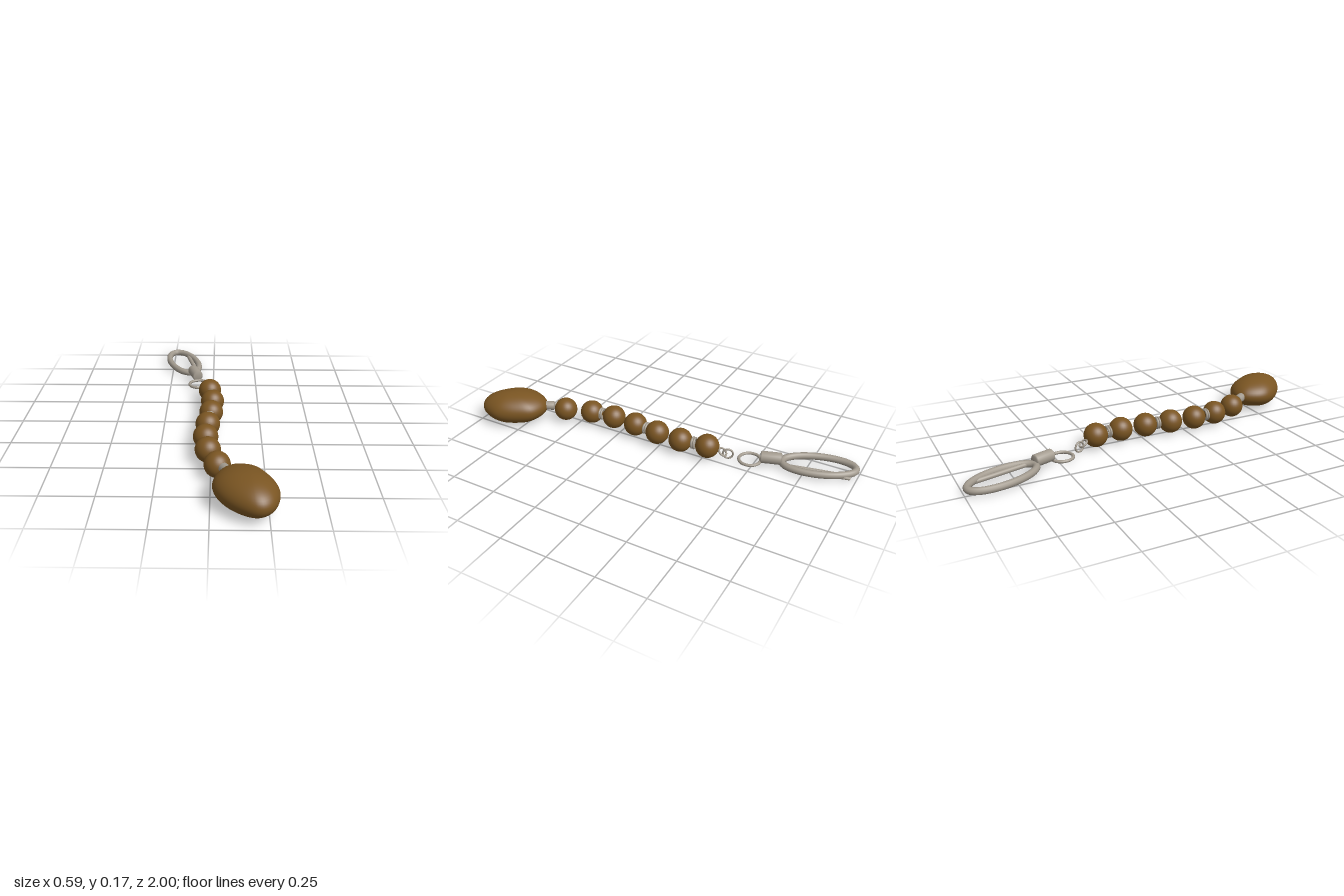
import * as THREE from 'three';
import { mergeVertices } from 'three/addons/utils/BufferGeometryUtils.js';

const V = (x, y, z) => new THREE.Vector3(x, y, z);

export function createModel() {
  const group = new THREE.Group();
  const brown = new THREE.MeshStandardMaterial({ name: 'brown stone', color: 0x7a5522 });
  const silver = new THREE.MeshStandardMaterial({ name: 'silver metal', color: 0xa39b8f });

  function add(name, geometry, material, position = V(0, 0, 0)) {
    const mesh = new THREE.Mesh(geometry, material);
    mesh.name = name;
    mesh.position.copy(position);
    group.add(mesh);
    return mesh;
  }

  // ring whose hole points along the given axis
  function ring(name, centre, axis, radius, tube) {
    const mesh = add(name, new THREE.TorusGeometry(radius, tube, 10, 36), silver, centre);
    mesh.quaternion.setFromUnitVectors(V(0, 0, 1), axis.clone().normalize());
    return mesh;
  }

  // solid turned about the line from a to b; profile is [radius, fraction of length]
  function turned(name, a, b, profile) {
    const length = a.distanceTo(b);
    const points = profile.map(([r, t]) => new THREE.Vector2(r, t * length));
    const mesh = add(name, new THREE.LatheGeometry(points, 24), silver, a);
    mesh.quaternion.setFromUnitVectors(V(0, 1, 0), b.clone().sub(a).normalize());
    return mesh;
  }

  // row of beads
  const beads = [[-0.016, -0.267], [0, -0.12], [-0.005, 0.02], [-0.02, 0.162],
    [-0.028, 0.302], [-0.015, 0.437], [0.03, 0.58]];
  beads.forEach(([x, z]) => {
    add('bead', new THREE.SphereGeometry(0.062, 32, 20), brown, V(x, 0.069, z));
  });

  // paired spacer rings between some beads
  [[-0.007, -0.195, 0.1], [-0.012, 0.088, -0.08], [-0.023, 0.376, 0.05]].forEach(([x, z, lean]) => {
    for (const side of [-1, 1]) {
      ring('spacerRing', V(x, 0.07, z + side * 0.006), V(lean, 0, 1), 0.027, 0.006);
    }
  });

  // end stone: a sphere drawn out to a rounded pebble outline
  const outline = new THREE.CatmullRomCurve3([
    [0.012, 0.82], [0.045, 0.89], [0.11, 0.955], [0.185, 0.994], [0.23, 0.99], [0.27, 0.955],
    [0.294, 0.88], [0.288, 0.825], [0.25, 0.745], [0.2, 0.683], [0.13, 0.66], [0.08, 0.667],
    [0.045, 0.695], [0.014, 0.76],
  ].map(([x, z]) => V(x, 0, z)), true);
  const stone = new THREE.SphereGeometry(1, 56, 28);
  const pos = stone.attributes.position;
  const uv = stone.attributes.uv;
  const crown = V(0.165, 0.086, 0.835);
  for (let i = 0; i < pos.count; i++) {
    const edge = outline.getPoint(((uv.getX(i) % 1) + 1) % 1);
    const spread = Math.hypot(pos.getX(i), pos.getZ(i));
    pos.setXYZ(i, crown.x + (edge.x - crown.x) * spread,
      crown.y + pos.getY(i) * 0.086,
      crown.z + (edge.z - crown.z) * spread);
  }
  stone.deleteAttribute('uv');
  stone.deleteAttribute('normal');
  const stoneSmooth = mergeVertices(stone, 1e-4);
  stoneSmooth.computeVertexNormals();
  add('endStone', stoneSmooth, brown);

  // metal cap joining the stone to the last bead
  turned('stoneCap', V(0.055, 0.086, 0.635), V(0.085, 0.088, 0.692),
    [[0, 0], [0.019, 0], [0.024, 0.1], [0.024, 0.9], [0.019, 1], [0, 1]]);

  // small links from the first bead to the jump ring
  ring('beadLink', V(-0.037, 0.045, -0.345), V(0, 0.8, -0.6), 0.023, 0.005);
  ring('uprightLink', V(-0.048, 0.036, -0.37), V(0.93, 0, -0.35), 0.026, 0.005);
  ring('jumpRing', V(-0.082, 0.017, -0.477), V(0, 1, 0), 0.056, 0.008);

  // swivel barrel
  turned('swivelBarrel', V(-0.091, 0.045, -0.53), V(-0.125, 0.045, -0.633),
    [[0, 0], [0.024, 0], [0.031, 0.06], [0.031, 0.94], [0.024, 1], [0, 1]]);

  // oval clasp loop
  const loop = [];
  const tilt = 0.315;
  for (let i = 0; i < 32; i++) {
    const a = (i / 32) * Math.PI * 2;
    const along = 0.184 * Math.cos(a);
    const across = 0.08 * Math.sin(a);
    loop.push(V(-0.186 - along * Math.sin(tilt) + across * Math.cos(tilt), 0.027,
      -0.806 - along * Math.cos(tilt) - across * Math.sin(tilt)));
  }
  add('claspLoop', new THREE.TubeGeometry(new THREE.CatmullRomCurve3(loop, true), 72, 0.018, 10, true), silver);

  // spring gate with its thumb lever
  turned('claspGate', V(-0.105, 0.025, -0.67), V(-0.165, 0.022, -0.93),
    [[0, 0], [0.012, 0], [0.012, 1], [0, 1]]);
  turned('claspLever', V(-0.145, 0.018, -0.9), V(-0.164, 0.018, -0.978),
    [[0, 0], [0.008, 0], [0.008, 0.92], [0, 1]]);

  return group;
}
